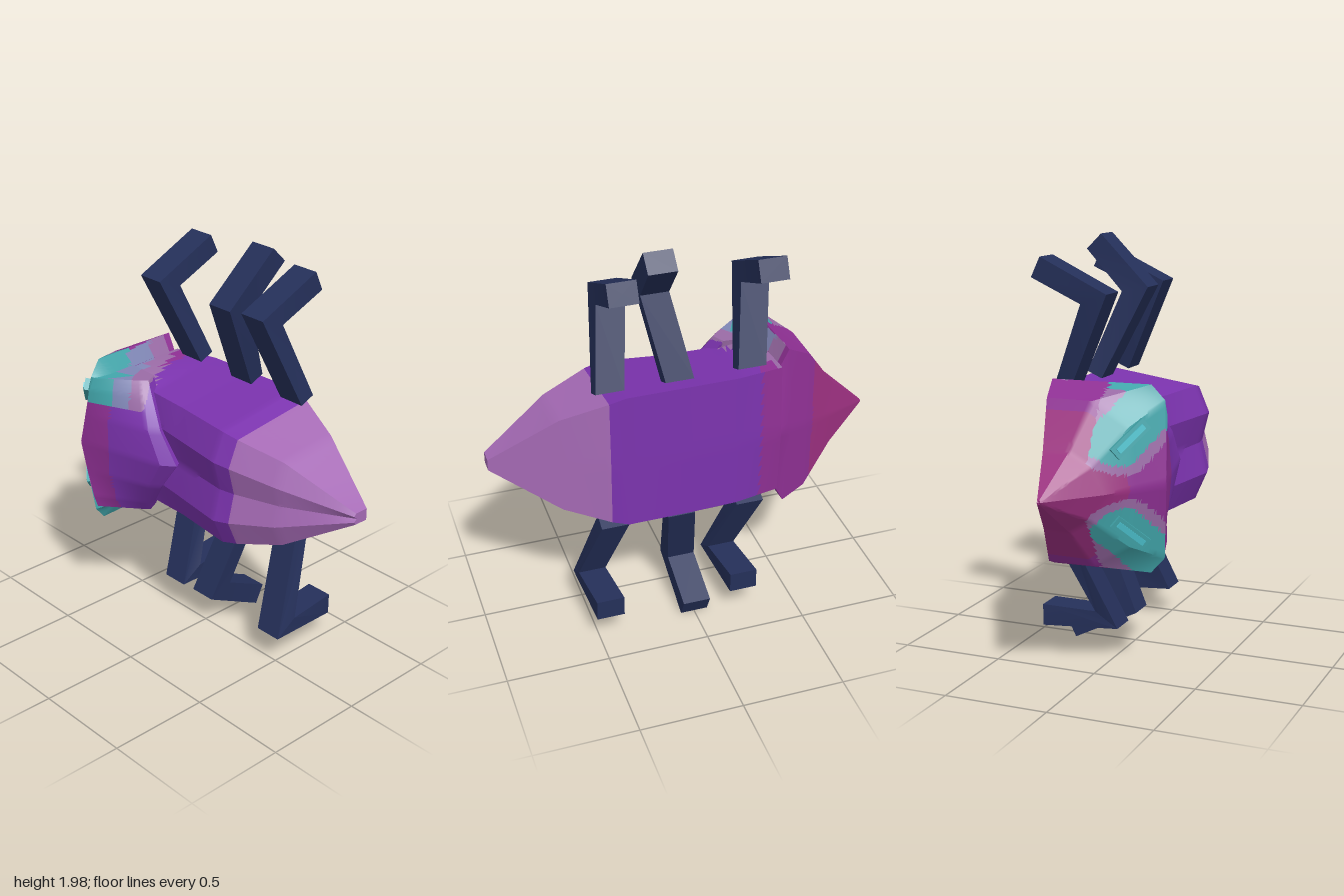
import * as THREE from 'three';
import { toCreasedNormals } from 'three/addons/utils/BufferGeometryUtils.js';

const colours = {
  raspberry: 0x9c3080, plum: 0x8f3094, violet: 0x7b33ae, lilac: 0xa56ab5,
  teal: 0x42a6ab, slate: 0x7f86b5, mauve: 0x9a6ba6, navy: 0x25305a, aqua: 0x4bc0cc,
};
const names = Object.keys(colours);
const MID = 0.945;

// Closed skin over a row of rings, subdivided so that it can be painted
function loft(rings, along = 1, around = 1) {
  const pos = [], idx = [];
  const n = rings[0].length * around;
  const fine = rings.map(r => r.flatMap((p, i) =>
    Array.from({ length: around }, (_, k) => p.clone().lerp(r[(i + 1) % r.length], k / around))));
  const rows = [];
  fine.forEach((r, i) => {
    if (i === fine.length - 1) { rows.push(r); return; }
    for (let k = 0; k < along; k++) rows.push(r.map((p, j) => p.clone().lerp(fine[i + 1][j], k / along)));
  });
  rows.forEach(r => r.forEach(p => pos.push(p.x, p.y, p.z)));
  for (let i = 0; i < rows.length - 1; i++) for (let j = 0; j < n; j++) {
    const a = i * n + j, b = i * n + (j + 1) % n;
    idx.push(a, b, a + n, b, b + n, a + n);
  }
  // End caps
  [0, rows.length - 1].forEach(row => {
    const c = rows[row].reduce((s, p) => s.add(p), new THREE.Vector3()).divideScalar(n);
    const ci = pos.length / 3;
    pos.push(c.x, c.y, c.z);
    for (let j = 0; j < n; j++) {
      const a = row * n + j, b = row * n + (j + 1) % n;
      if (row) idx.push(a, b, ci); else idx.push(b, a, ci);
    }
  });
  // Turn the faces outwards
  const at = i => new THREE.Vector3().fromArray(pos, i * 3);
  let volume = 0;
  for (let i = 0; i < idx.length; i += 3) volume += at(idx[i]).dot(at(idx[i + 1]).cross(at(idx[i + 2])));
  if (volume < 0) idx.reverse();
  const g = new THREE.BufferGeometry();
  g.setAttribute('position', new THREE.Float32BufferAttribute(pos, 3));
  g.setIndex(idx);
  return toCreasedNormals(g, 0.45);
}

// Sort the triangles into one group per colour
function paint(g, rule) {
  const p = g.attributes.position, buckets = names.map(() => []);
  for (let i = 0; i < p.count; i += 3) {
    const mean = k => (p.array[i * 3 + k] + p.array[i * 3 + 3 + k] + p.array[i * 3 + 6 + k]) / 3;
    buckets[names.indexOf(rule(mean(0), mean(1), mean(2)))].push(i, i + 1, i + 2);
  }
  g.setIndex(buckets.flat());
  let start = 0;
  buckets.forEach((b, m) => { if (b.length) g.addGroup(start, b.length, m); start += b.length; });
  return g;
}

// Half section [x, distance from middle, z] from belly to back, mirrored in y
function ring(yc, half) {
  const v = (p, s) => new THREE.Vector3(p[0], yc + s * p[1], p[2]);
  return [...half.map(p => v(p, 1)), ...half.slice(1, -1).reverse().map(p => v(p, -1))];
}

const band = x => x > 0.4 ? 'lilac' : x > -0.35 ? 'violet' : x > -0.64 ? 'plum' : 'raspberry';

function shoulderColour(x, y, z) {
  const s = x + 0.6 * (0.2 - z);
  if (y > 1.17 && x < -0.2) {
    if (s < -0.4) return 'teal';
    if (s < -0.3) return 'slate';
    if (s < -0.2) return 'mauve';
  }
  return band(x);
}

function headColour(x, y, z) {
  const d = Math.abs(y - MID);
  // Rim behind the head
  if (x > -0.5 + 0.11 * (z + 0.22) && d > 0.33) {
    return z > 0.1 ? 'teal' : z > -0.06 ? 'slate' : z > -0.17 ? 'mauve' : 'plum';
  }
  // Patch around each eye
  if (z > 0.08) {
    const t = THREE.MathUtils.clamp(((x + 0.65) + (d - 0.17)) / 0.38, 0, 1);
    const r = Math.hypot(x + 0.65 - 0.19 * t, d - 0.17 - 0.19 * t);
    if (r < 0.075) return 'teal';
    if (r < 0.115) return 'mauve';
  }
  return band(x);
}

export function createModel() {
  const model = new THREE.Group();
  const mats = names.map(name => {
    const m = new THREE.MeshStandardMaterial({ color: colours[name] });
    m.name = name;
    return m;
  });
  const mat = name => mats[names.indexOf(name)];
  const add = (name, g, m) => {
    const mesh = new THREE.Mesh(g, m);
    mesh.name = name;
    model.add(mesh);
    return mesh;
  };

  // Abdomen: x, middle y, then [distance, z] from belly to back
  const body = [
    [-0.45, 0.95, [0, -0.24], [0.345, -0.22], [0.345, 0.3], [0.15, 0.3], [0, 0.3]],
    [-0.22, 0.955, [0, -0.27], [0.35, -0.265], [0.29, 0.14], [0.15, 0.17], [0, 0.15]],
    [0, 0.955, [0, -0.275], [0.352, -0.27], [0.285, 0.15], [0.15, 0.2], [0, 0.17]],
    [0.32, 0.957, [0, -0.275], [0.352, -0.275], [0.285, 0.19], [0.15, 0.25], [0, 0.21]],
    [0.4, 0.957, [0, -0.27], [0.328, -0.265], [0.268, 0.175], [0.14, 0.23], [0, 0.195]],
    [0.62, 0.957, [0, -0.2], [0.247, -0.2], [0.21, 0.1], [0.1, 0.15], [0, 0.125]],
    [0.94, 0.965, [0, -0.1], [0.028, -0.1], [0.028, -0.03], [0.014, -0.02], [0, -0.035]],
  ].map(([x, yc, ...half]) => ring(yc, half.map(([d, z]) => [x, d, z])));
  add('abdomen', paint(loft(body, 10, 6), shoulderColour), mats);

  // Head, from the snout to the rim at the neck
  const head = [
    ring(0.92, [[-0.945, 0, -0.06], [-0.94, 0.01, -0.06], [-0.94, 0.01, -0.05], [-0.94, 0.006, -0.045], [-0.945, 0, -0.045]]),
    ring(0.925, [[-0.76, 0, -0.13], [-0.76, 0.17, -0.12], [-0.75, 0.18, 0], [-0.74, 0.12, 0.1], [-0.73, 0, 0.16]]),
    ring(0.935, [[-0.6, 0, -0.19], [-0.61, 0.375, -0.17], [-0.61, 0.375, 0.05], [-0.6, 0.27, 0.22], [-0.62, 0, 0.26]]),
    ring(MID, [[-0.5, 0, -0.22], [-0.49, 0.43, -0.2], [-0.465, 0.43, 0.27], [-0.45, 0.36, 0.33], [-0.51, 0, 0.36]]),
    ring(MID, [[-0.45, 0, -0.24], [-0.45, 0.35, -0.2], [-0.42, 0.35, 0.22], [-0.42, 0.345, 0.3], [-0.45, 0, 0.3]]),
  ];
  add('head', paint(loft(head, 14, 12), headColour), mats);

  // Pointed neck shield: [distance, front x, front z, shoulder x, z, back x, z]
  const shieldHalf = [
    [0.348, -0.44, 0.325, -0.26, 0.175, -0.24, 0.15],
    [0.29, -0.45, 0.34, -0.225, 0.2, -0.2, 0.165],
    [0.15, -0.48, 0.35, -0.14, 0.245, -0.095, 0.205],
    [0, -0.51, 0.36, -0.05, 0.25, 0.012, 0.2],
  ];
  const shieldRow = ([d, xf, zf, xs, zs, xb, zb], s) => [
    [xf, zf], [xs, zs], [xb, zb], [xb - 0.03, zb - 0.06], [xf, 0.08],
  ].map(([x, z]) => new THREE.Vector3(x, 0.952 + s * d, z));
  const shield = [...shieldHalf.map(r => shieldRow(r, 1)),
    ...shieldHalf.slice(0, -1).reverse().map(r => shieldRow(r, -1))];
  add('neckShield', paint(loft(shield, 8, 14), shoulderColour), mats);

  // Slit eyes
  for (const s of [1, -1]) {
    const along = new THREE.Vector3(0.14, 0.15 * s, 0.12).normalize();
    const out = new THREE.Vector3(-0.73, 0.15 * s, 0.66);
    out.addScaledVector(along, -out.dot(along)).normalize();
    const turn = new THREE.Matrix4().makeBasis(along, out.clone().cross(along), out);
    for (const [name, l, w, h, lift, c] of [
      ['eyeFrame', 0.2, 0.06, 0.025, 0.006, 'teal'],
      ['eyeSlit', 0.16, 0.026, 0.009, 0.021, 'aqua'],
    ]) {
      const eye = add(name, new THREE.BoxGeometry(l, w, h), mat(c));
      eye.quaternion.setFromRotationMatrix(turn);
      eye.position.set(-0.605, MID + 0.21 * s, 0.225).addScaledVector(out, lift);
    }
  }

  // Bent legs: hip, knee and tip as [x, y, z]
  const legs = [
    ['frontLeftLeg', [-0.29, 1.325, -0.21], [-0.35, 1.73, -0.03], [-0.35, 1.865, -0.315]],
    ['middleLeftLeg', [0.06, 1.32, -0.21], [0.13, 1.73, -0.03], [0.15, 1.95, -0.25]],
    ['rearLeftLeg', [0.39, 1.32, -0.21], [0.335, 1.73, -0.03], [0.34, 1.86, -0.315]],
    ['frontRightLeg', [-0.3, 0.59, -0.21], [-0.21, 0.19, -0.035], [-0.235, 0.185, -0.355]],
    ['middleRightLeg', [0.05, 0.595, -0.21], [0.005, 0.19, -0.035], [0, 0.052, -0.315]],
    ['rearRightLeg', [0.38, 0.6, -0.21], [0.465, 0.19, -0.035], [0.445, 0.185, -0.355]],
  ];
  for (const [name, ...joints] of legs) {
    const [hip, knee, tip] = joints.map(j => new THREE.Vector3(...j));
    const flat = (a, b) => b.clone().sub(a).setX(0).normalize();
    const up = flat(knee, hip), down = flat(knee, tip);
    const bend = up.clone().add(down).normalize();
    const inward = d => bend.clone().addScaledVector(d, -bend.dot(d)).normalize();
    const section = (c, dir, half) => [[-1, 1], [1, 1], [1, -1], [-1, -1]].map(([i, x]) =>
      c.clone().addScaledVector(dir, i * half).add(new THREE.Vector3(x * 0.068, 0, 0)));
    add(name, loft([section(hip, inward(up), 0.04), section(knee, bend, 0.068),
      section(tip, inward(down), 0.052)]), mat('navy'));
  }
  return model;
}
